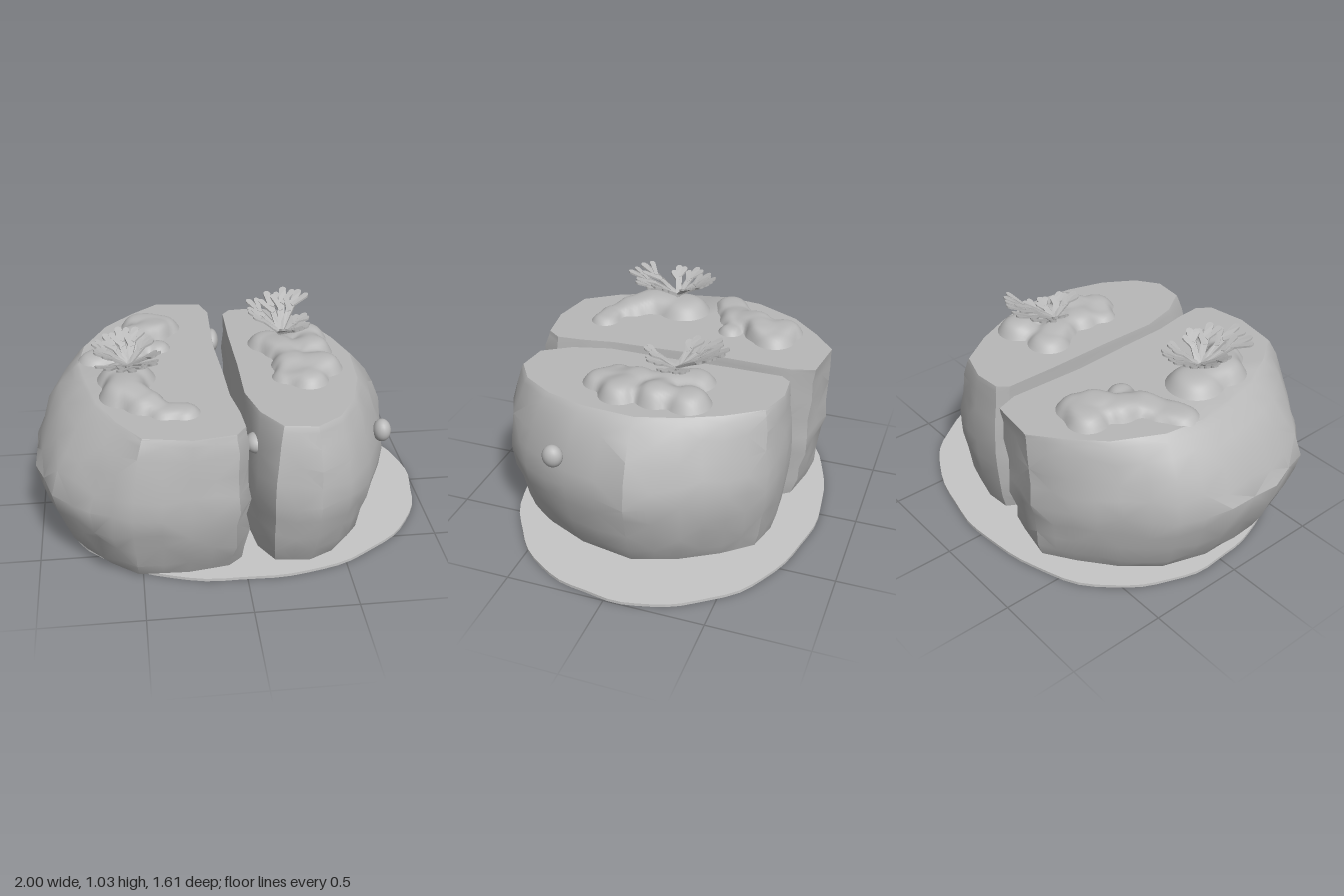
import * as THREE from 'three';
import { toCreasedNormals } from 'three/addons/utils/BufferGeometryUtils.js';

const stone = new THREE.MeshStandardMaterial({ color: 0xb8b8b8 });
stone.name = 'stone grey';
const pale = new THREE.MeshStandardMaterial({ color: 0xc6c6c6 });
pale.name = 'pale grey';

function seeded(seed) {
  return () => (seed = (seed * 16807) % 2147483647) / 2147483647;
}

function addMesh(parent, name, geometry, material = stone) {
  const mesh = new THREE.Mesh(geometry, material);
  mesh.name = name;
  parent.add(mesh);
  return mesh;
}

function geometryFrom(positions, index) {
  const g = new THREE.BufferGeometry();
  g.setAttribute('position', new THREE.Float32BufferAttribute(positions, 3));
  g.setIndex(index);
  return g;
}

// Rock: rows of [middle x, z, top x, z, bottom x, z], going round the rock
function rockGeometry(corners, seed, lump) {
  const rand = seeded(seed);
  // Long sides get an extra row halfway
  const rows = corners.flatMap((r, i) => {
    const next = corners[(i + 1) % corners.length];
    const far = Math.hypot(next[0] - r[0], next[1] - r[1]) > 0.17;
    return far ? [r, r.map((v, k) => (v + next[k]) / 2)] : [r];
  });
  // [height, blend from middle, column of the blend target, roughness]
  const levels = [[0.015, 1, 4, 0], [0.1, 0.6, 4, 0.6], [0.2, 0.38, 4, 1], [0.3, 0.13, 4, 1], [0.4, 0, 2, 0.7],
    [0.5, 0.13, 2, 1], [0.6, 0.32, 2, 1], [0.7, 0.6, 2, 0.6], [0.765, 0.88, 2, 0.1], [0.787, 1, 2, 0], [0.795, 1.06, 2, 0]];
  const n = rows.length, pos = [], index = [];
  for (const [y, w, k, rough] of levels) {
    rows.forEach((r, i) => {
      const p = rows[(i + n - 1) % n], q = rows[(i + 1) % n];
      const tx = q[0] - p[0], tz = q[1] - p[1], tl = Math.hypot(tx, tz);
      const x = r[0] + (r[k] - r[0]) * w, z = r[1] + (r[k + 1] - r[1]) * w;
      const swell = lump * THREE.MathUtils.clamp(1 + x * 1.2, 0, 1);
      const out = rough * (swell * Math.sin(25 * y + 5 * x - 2.08 * z + 1.64) + (rand() - 0.5) * 0.012);
      pos.push(x - tz / tl * out, y + (rand() - 0.5) * rough * 0.05, z + tx / tl * out);
    });
  }
  for (let j = 0; j < levels.length - 1; j++) {
    for (let i = 0; i < n; i++) {
      const a = j * n + i, b = j * n + (i + 1) % n;
      if ((i + j) % 2) index.push(b, a, a + n, b, a + n, b + n);
      else index.push(b, a, b + n, a, a + n, b + n);
    }
  }
  const cap = (k, y, start, flip) => {
    const x = rows.reduce((s, r) => s + r[k], 0) / n, z = rows.reduce((s, r) => s + r[k + 1], 0) / n;
    const c = pos.push(x, y, z) / 3 - 1;
    for (let i = 0; i < n; i++) {
      const a = start + i, b = start + (i + 1) % n;
      index.push(c, flip ? a : b, flip ? b : a);
    }
  };
  cap(2, 0.795, (levels.length - 1) * n, false);
  cap(4, 0.015, 0, true);
  return toCreasedNormals(geometryFrom(pos, index), 0.6);
}

// Soft crust on the rock tops: circles [x, z, radius, height] merged into one height field
function crustGeometry(circles) {
  const step = 0.014, pos = [], index = [], field = [];
  const x0 = Math.min(...circles.map(c => c[0] - c[2] * 1.3)), x1 = Math.max(...circles.map(c => c[0] + c[2] * 1.3));
  const z0 = Math.min(...circles.map(c => c[1] - c[2] * 1.3)), z1 = Math.max(...circles.map(c => c[1] + c[2] * 1.3));
  const nx = Math.ceil((x1 - x0) / step), nz = Math.ceil((z1 - z0) / step);
  for (let j = 0; j <= nz; j++) {
    for (let i = 0; i <= nx; i++) {
      const x = x0 + i * step, z = z0 + j * step;
      let f = 0, h = 0;
      for (const [cx, cz, r, height] of circles) {
        const d = ((x - cx) ** 2 + (z - cz) ** 2) / (r * r * 1.5);
        if (d < 1) {
          f += (1 - d) ** 2;
          h += height * (1 - d) ** 2;
        }
      }
      field.push(f);
      pos.push(x, 0.77 + (f > 0 ? h / f : 0) * (1 - Math.exp(-3.2 * f)), z);
    }
  }
  for (let j = 0; j < nz; j++) {
    for (let i = 0; i < nx; i++) {
      const a = j * (nx + 1) + i, b = a + 1, c = a + nx + 1, d = c + 1;
      if (Math.max(field[a], field[b], field[c], field[d]) > 0.08) index.push(a, c, b, b, c, d);
    }
  }
  const g = geometryFrom(pos, index);
  g.computeVertexNormals();
  return g;
}

// Flat lobe from (x, z) along an angle, narrow at the root and round at the tip
function lobe(x, z, angle, length, w0, w1, bowl) {
  const shape = new THREE.Shape(), pts = [];
  for (let i = 0; i <= 5; i++) pts.push([(i / 5) * (length - w1), w0 + (w1 - w0) * (i / 5) ** 1.5]);
  for (let i = 1; i <= 3; i++) pts.push([length - w1 + w1 * Math.sin(i * 0.5), w1 * Math.cos(i * 0.5)]);
  pts.forEach(([u, v], i) => (i ? shape.lineTo(u, v) : shape.moveTo(u, v)));
  pts.reverse().forEach(([u, v]) => shape.lineTo(u, -v));
  const g = new THREE.ExtrudeGeometry(shape, { depth: 0.01, bevelEnabled: false });
  const p = g.attributes.position, s = Math.sin(angle), c = Math.cos(angle);
  for (let i = 0; i < p.count; i++) {
    const u = p.getX(i), v = p.getY(i);
    const px = x + u * s + v * c, pz = z + u * c - v * s;
    p.setXYZ(i, px, bowl(Math.hypot(px, pz)) + p.getZ(i), pz);
  }
  g.computeVertexNormals();
  return g;
}

// Coral: fronds [tip x, tip z, tip height] measured from the root, each with side lobes
function coral(name, x, y, z, fronds) {
  const group = new THREE.Group();
  group.name = name;
  group.position.set(x, y, z);
  for (const [tx, tz, h] of fronds) {
    const len = Math.hypot(tx, tz), a = Math.atan2(tx, tz);
    const bowl = r => h * Math.pow(r / len, 0.7);
    addMesh(group, 'frond', lobe(0, 0, a, len, 0.015, 0.019, bowl));
    [[0.45, 0.55], [0.6, -0.6]].forEach(([t, turn]) =>
      addMesh(group, 'frondLobe', lobe(tx * t, tz * t, a + turn, len * 0.4, 0.011, 0.016, bowl)));
  }
  return group;
}

function knob(parent, x, y, z, sx, sy, sz) {
  const mesh = addMesh(parent, 'knob', new THREE.SphereGeometry(1, 20, 14));
  mesh.position.set(x, y, z);
  mesh.scale.set(sx, sy, sz);
}

export function createModel() {
  const model = new THREE.Group();
  model.name = 'splitRock';

  // Thin ground plate with a slightly wavy rim, fuller on the diagonals
  const rim = [];
  for (let i = 0; i < 72; i++) {
    const a = (i / 72) * Math.PI * 2, full = Math.cos(a) < 0 ? 0.04 : 0.018;
    const w = 0.994 + full * Math.sin(2 * a) ** 2 + 0.005 * Math.sin(a * 9) + 0.004 * Math.sin(a * 17 + 1);
    rim.push(new THREE.Vector2(0.045 + 0.955 * w * Math.cos(a), 0.02 + 0.79 * w * Math.sin(a)));
  }
  const plate = new THREE.ExtrudeGeometry(new THREE.Shape(rim), { depth: 0.015, bevelEnabled: false });
  plate.rotateX(-Math.PI / 2);
  addMesh(model, 'basePlate', plate, pale);

  addMesh(model, 'rightRock', rockGeometry([
    [-1, -0.05, -0.78, -0.05, -0.84, -0.04], [-0.91, -0.3, -0.75, -0.25, -0.77, -0.26],
    [-0.73, -0.49, -0.63, -0.48, -0.63, -0.43], [-0.54, -0.64, -0.48, -0.63, -0.47, -0.56],
    [-0.35, -0.73, -0.34, -0.74, -0.32, -0.66], [-0.11, -0.69, -0.1, -0.71, -0.12, -0.62],
    [-0.04, -0.58, -0.06, -0.6, -0.05, -0.53], [-0.05, -0.2, -0.07, -0.2, -0.05, -0.2],
    [-0.03, 0.1, -0.05, 0.1, -0.04, 0.1], [-0.02, 0.35, -0.04, 0.35, -0.04, 0.33],
    [0.01, 0.55, -0.01, 0.52, 0, 0.5], [0.02, 0.66, 0, 0.65, -0.01, 0.6],
    [-0.04, 0.77, -0.05, 0.72, -0.08, 0.66], [-0.27, 0.8, -0.25, 0.75, -0.28, 0.69],
    [-0.54, 0.8, -0.48, 0.71, -0.52, 0.68], [-0.73, 0.69, -0.6, 0.55, -0.65, 0.58],
    [-0.91, 0.52, -0.69, 0.37, -0.77, 0.45], [-1, 0.25, -0.74, 0.16, -0.84, 0.2],
  ], 11, 0.012));

  addMesh(model, 'leftRock', rockGeometry([
    [0.02, -0.58, 0.02, -0.57, 0.05, -0.52], [0.06, -0.65, 0.06, -0.62, 0.09, -0.59],
    [0.22, -0.66, 0.2, -0.63, 0.22, -0.6], [0.42, -0.62, 0.36, -0.58, 0.38, -0.56],
    [0.58, -0.47, 0.48, -0.41, 0.5, -0.42], [0.71, -0.28, 0.57, -0.22, 0.61, -0.24],
    [0.81, -0.03, 0.63, -0.02, 0.69, -0.02], [0.74, 0.3, 0.61, 0.25, 0.64, 0.26],
    [0.62, 0.56, 0.55, 0.45, 0.54, 0.48], [0.5, 0.7, 0.45, 0.61, 0.44, 0.6],
    [0.35, 0.77, 0.33, 0.69, 0.32, 0.66], [0.13, 0.74, 0.17, 0.67, 0.15, 0.64],
    [0.06, 0.6, 0.08, 0.53, 0.08, 0.52], [0.02, 0.38, 0.03, 0.34, 0.05, 0.33],
    [0.02, 0.05, 0.03, 0.05, 0.04, 0.05], [0.02, -0.3, 0.02, -0.3, 0.04, -0.28],
  ], 29, 0.004));

  addMesh(model, 'rightBackCrust', crustGeometry([[-0.44, -0.46, 0.1, 0.09], [-0.34, -0.43, 0.11, 0.085],
    [-0.37, -0.35, 0.08, 0.1], [-0.47, -0.3, 0.1, 0.1], [-0.36, -0.19, 0.07, 0.06],
    [-0.5, -0.19, 0.1, 0.08], [-0.6, -0.14, 0.1, 0.06], [-0.68, -0.1, 0.09, 0.06]]));
  addMesh(model, 'rightFrontCrust', crustGeometry([[-0.53, 0.13, 0.14, 0.1], [-0.54, 0.3, 0.12, 0.11],
    [-0.45, 0.4, 0.1, 0.09], [-0.36, 0.48, 0.08, 0.06], [-0.27, 0.49, 0.08, 0.06]]));
  addMesh(model, 'leftCrust', crustGeometry([[0.22, -0.18, 0.11, 0.08], [0.42, -0.22, 0.11, 0.1],
    [0.28, -0.08, 0.1, 0.09], [0.43, -0.06, 0.1, 0.11], [0.31, 0.08, 0.11, 0.09], [0.45, 0.12, 0.1, 0.1],
    [0.36, 0.24, 0.1, 0.08], [0.26, 0.2, 0.08, 0.06]]));

  model.add(coral('rightCoral', -0.52, 0.86, 0.16, [
    [-0.1, 0.25, 0.13], [0.02, 0.28, 0.13], [0.13, 0.2, 0.12], [0.16, 0.08, 0.12], [0.12, -0.1, 0.12],
    [0.05, -0.19, 0.13], [-0.04, -0.2, 0.13], [-0.11, -0.15, 0.12], [-0.17, -0.06, 0.12], [-0.16, 0.05, 0.12],
  ]));
  model.add(coral('leftCoral', 0.27, 0.865, -0.11, [
    [-0.16, -0.06, 0.12], [-0.15, -0.18, 0.13], [-0.04, -0.25, 0.14], [0.05, -0.25, 0.16], [0.13, -0.21, 0.16],
    [0.15, -0.08, 0.08], [0.15, 0.02, 0.07], [0.1, 0.12, 0.09], [0.02, 0.16, 0.11],
  ]));

  // Small round growths on the walls
  knob(model, 0.715, 0.555, 0.36, 0.045, 0.058, 0.052);
  knob(model, 0.065, 0.62, 0.51, 0.052, 0.05, 0.06);
  knob(model, -0.045, 0.66, -0.53, 0.035, 0.06, 0.075);
  return model;
}
